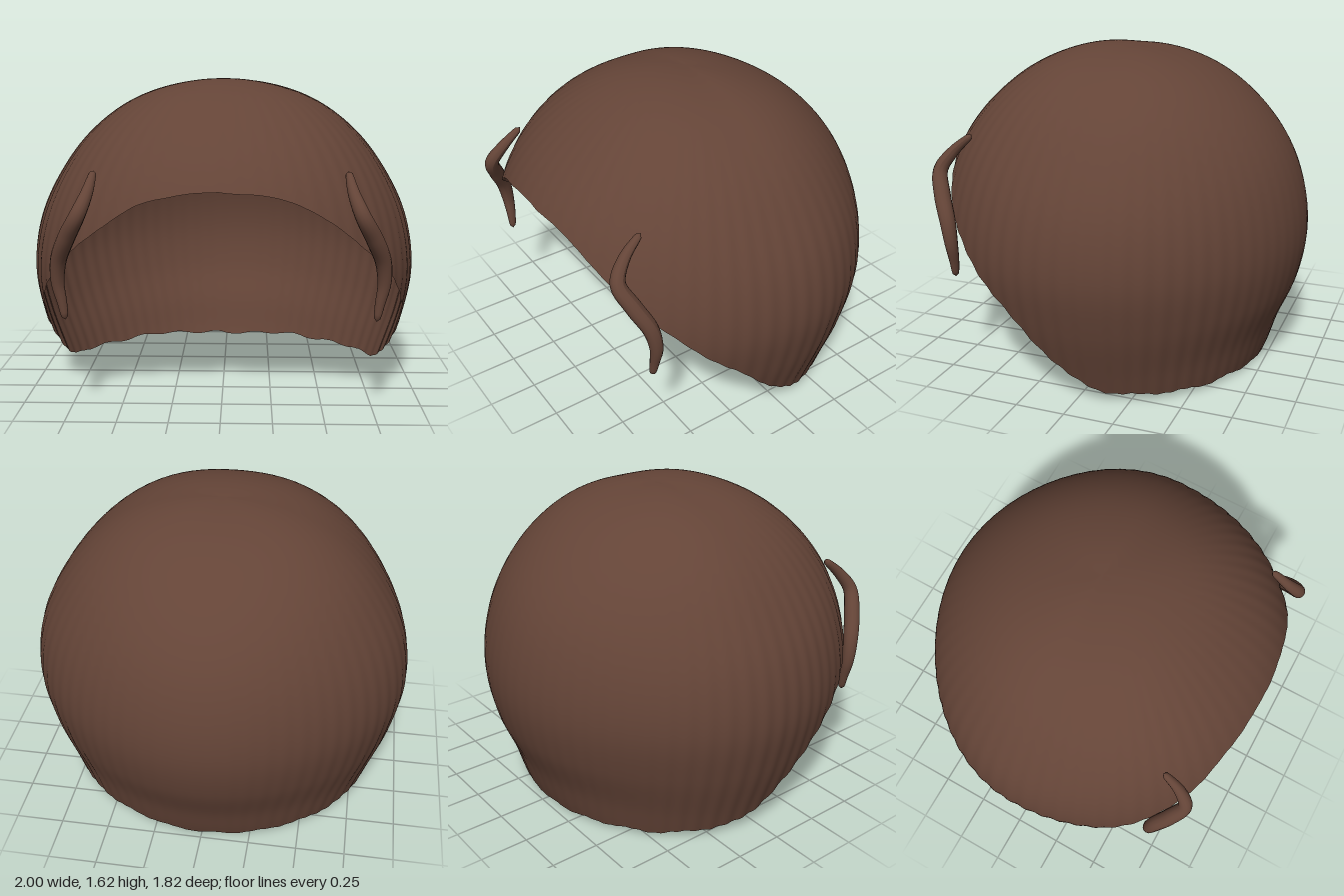
import * as THREE from 'three';

const hairBrown = new THREE.MeshStandardMaterial({ color: 0x644437, side: THREE.DoubleSide });
hairBrown.name = 'hairBrown';

// Smooth curve through [x, y] pairs, evaluated at x
function sample(points, x) {
  let i = 0;
  while (i < points.length - 2 && x > points[i + 1][0]) i++;
  const p = (k) => points[Math.max(0, Math.min(points.length - 1, k))];
  const slope = (k) => (p(k + 1)[1] - p(k - 1)[1]) / (p(k + 1)[0] - p(k - 1)[0]);
  const h = p(i + 1)[0] - p(i)[0];
  const t = (x - p(i)[0]) / h;
  const t2 = t * t, t3 = t2 * t;
  return (2 * t3 - 3 * t2 + 1) * p(i)[1] + (t3 - 2 * t2 + t) * h * slope(i)
    + (3 * t2 - 2 * t3) * p(i + 1)[1] + (t3 - t2) * h * slope(i + 1);
}

// Distance from the head centre, every 15 degrees down from the crown
const every15 = (list) => list.map((r, i) => [i * 15, r]);
const FRONT = every15([0.957, 0.988, 1.006, 1.014, 1.03, 1.04, 1.05, 1.04, 1.03, 1.05]);
const SIDE = every15([0.957, 0.968, 0.98, 0.982, 0.981, 0.993, 0.997, 0.988, 1.01, 1.09]);
const BACK = every15([0.957, 0.946, 0.938, 0.93, 0.925, 0.915, 0.908, 0.898, 0.9, 0.98]);
// Extra fullness of the front diagonals and flattening of the back ones
const FRONT_DIAGONAL = every15([0, 0.004, 0.015, 0.022, 0.018, 0.006, 0, 0, 0, 0]);
const BACK_DIAGONAL = every15([0, 0, 0, -0.006, -0.014, -0.02, -0.022, -0.02, -0.012, 0]);
// Hairline: angle round from the front -> angle down from the crown
const RIM = [[0, 61.7], [12.5, 63], [25, 67], [46, 81.6], [60, 93], [71, 103],
  [82, 115], [90, 121.5], [100, 125.2], [135, 129], [180, 132.3]];
const CENTRE_Y = 0.65;

function capPoint(a, v) {
  const deg = Math.abs(THREE.MathUtils.radToDeg(a > Math.PI ? a - 2 * Math.PI : a));
  const s = Math.sin(a), c = Math.cos(a);
  // Gently wavy hairline, strongest at the nape
  const wave = (0.28 - 0.15 * c) * (Math.sin(a * 19) + 0.5 * Math.sin(a * 11 + 1));
  const down = v * (sample(RIM, deg) + wave);
  const side = sample(SIDE, down);
  const lengthwise = sample(c > 0 ? FRONT : BACK, down);
  const diagonal = sample(c > 0 ? FRONT_DIAGONAL : BACK_DIAGONAL, down);
  let r = 1 / Math.sqrt((s * s) / side ** 2 + (c * c) / lengthwise ** 2);
  r += diagonal * Math.sin(2 * a) ** 2;
  // Fine combed strands, fading out at the crown
  r += 0.003 * THREE.MathUtils.smoothstep(v, 0.25, 0.8) * (0.2 + 0.8 * s * s) * Math.sin(a * 64 + 3 * v);
  const phi = THREE.MathUtils.degToRad(down);
  return [r * Math.sin(phi) * s, CENTRE_Y + r * Math.cos(phi), r * Math.sin(phi) * c];
}

// Open hair shell: rings from the crown to the hairline
function capGeometry(around = 384, rings = 64) {
  const pos = [...capPoint(0, 0)];
  const index = [];
  for (let j = 1; j <= rings; j++) {
    for (let i = 0; i < around; i++) pos.push(...capPoint((i / around) * Math.PI * 2, j / rings));
  }
  const id = (j, i) => 1 + (j - 1) * around + (i % around);
  for (let i = 0; i < around; i++) {
    index.push(0, id(1, i), id(1, i + 1));
    for (let j = 1; j < rings; j++) {
      index.push(id(j, i), id(j + 1, i), id(j + 1, i + 1), id(j, i), id(j + 1, i + 1), id(j, i + 1));
    }
  }
  const g = new THREE.BufferGeometry();
  g.setAttribute('position', new THREE.Float32BufferAttribute(pos, 3));
  g.setIndex(index);
  g.computeVertexNormals();
  return g;
}

// Tapered loose strand curling out from the temple
function strandGeometry(sign) {
  const path = new THREE.CatmullRomCurve3([
    [0.592, 1.203, 0.662], [0.61, 1.11, 0.765], [0.645, 1.02, 0.82], [0.705, 0.91, 0.78],
    [0.757, 0.79, 0.725], [0.768, 0.68, 0.705], [0.75, 0.58, 0.705], [0.736, 0.497, 0.71],
  ].map(([x, y, z]) => new THREE.Vector3(sign * x, y, z)));
  const steps = 48, sides = 14;
  const g = new THREE.TubeGeometry(path, steps, 1, sides);
  const p = g.attributes.position;
  const q = new THREE.Vector3();
  for (let i = 0; i <= steps; i++) {
    const t = i / steps;
    const centre = path.getPointAt(t);
    // Rounded ends with a fuller middle
    const cap = Math.sqrt(Math.max(0, 1 - (Math.max(0, Math.abs(2 * t - 1) - 0.93) / 0.07) ** 2));
    const radius = cap * (0.016 + 0.025 * Math.sin(Math.PI * t));
    for (let j = 0; j <= sides; j++) {
      const k = i * (sides + 1) + j;
      q.fromBufferAttribute(p, k).sub(centre).multiplyScalar(radius).add(centre);
      p.setXYZ(k, q.x, q.y, q.z);
    }
  }
  g.computeVertexNormals();
  return g;
}

export function createModel() {
  const model = new THREE.Group();
  model.name = 'hairpiece';
  const add = (name, geometry) => {
    const mesh = new THREE.Mesh(geometry, hairBrown);
    mesh.name = name;
    model.add(mesh);
  };
  add('hairCap', capGeometry());
  add('leftTempleStrand', strandGeometry(1));
  add('rightTempleStrand', strandGeometry(-1));
  return model;
}
